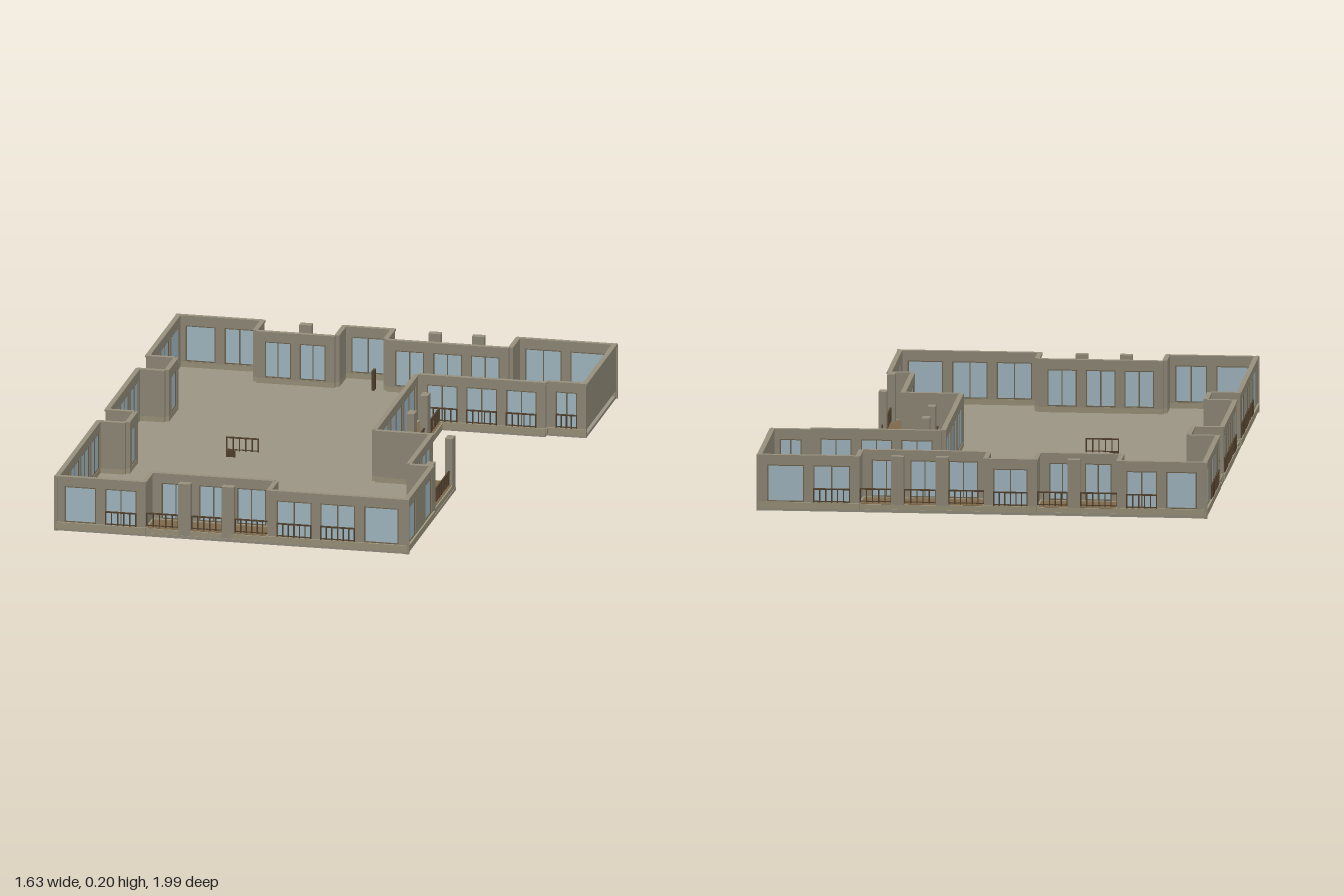
import * as THREE from 'three';

const mat = (name, color) => {
  const m = new THREE.MeshStandardMaterial({ color });
  m.name = name;
  return m;
};
const WALL = mat('stone wall', 0x968f7c);
const PLINTH = mat('plinth stone', 0xa0987f);
const FLOOR = mat('floor', 0x9a9483);
const WOOD = mat('deck wood', 0x7d684a);
const GLASS = mat('glass', 0xa9c0cb);
const FRAME = mat('window frame', 0x75674f);
const RAIL = mat('railing', 0x54432f);

const TOP = 0.205, BASE = 0.03, SILL = 0.033, HEAD = 0.168, THICK = 0.014, PIER = 0.033;
const unit = new THREE.BoxGeometry(1, 1, 1);

// box given by its minimum and maximum on each axis
function box(parent, name, material, x0, x1, y0, y1, z0, z1) {
  const m = new THREE.Mesh(unit, material);
  m.name = name;
  m.scale.set(x1 - x0, y1 - y0, z1 - z0);
  m.position.set((x0 + x1) / 2, (y0 + y1) / 2, (z0 + z1) / 2);
  parent.add(m);
}

// group whose x axis runs from a to b and whose z axis points out of the building
function along(parent, name, a, b) {
  const g = new THREE.Group();
  g.name = name;
  g.position.set(a[0], 0, a[1]);
  g.rotation.y = Math.atan2(a[1] - b[1], b[0] - a[0]);
  parent.add(g);
  return g;
}

const distance = (a, b) => Math.hypot(b[0] - a[0], b[1] - a[1]);

// top rail, bottom rail and evenly spaced balusters
function railing(g, x0, x1, z) {
  box(g, 'topRail', RAIL, x0, x1, 0.08, 0.085, z - 0.003, z + 0.003);
  box(g, 'bottomRail', RAIL, x0, x1, 0.036, 0.039, z - 0.002, z + 0.002);
  const n = Math.max(2, Math.round((x1 - x0) / 0.022));
  for (let i = 0; i <= n; i++) {
    const x = x0 + 0.002 + (x1 - x0 - 0.004) * i / n;
    box(g, 'baluster', RAIL, x - 0.002, x + 0.002, SILL, 0.08, z - 0.002, z + 0.002);
  }
}

// glazed opening with a frame and an optional middle mullion
function glazing(g, x0, x1, mullion) {
  const t = 0.004, mid = (x0 + x1) / 2;
  const bar = (a, b, c, d) => box(g, 'windowFrame', FRAME, a, b, c, d, -0.012, -0.002);
  box(g, 'glass', GLASS, x0, x1, SILL, HEAD, -0.010, -0.005);
  bar(x0, x0 + t, SILL, HEAD);
  bar(x1 - t, x1, SILL, HEAD);
  bar(x0, x1, SILL, SILL + t);
  bar(x0, x1, HEAD - t, HEAD);
  if (mullion) bar(mid - t / 2, mid + t / 2, SILL, HEAD);
}

// wall from a to b in equal bays: P plain window, M window with mullion, R window with railing, - blank
function wall(parent, a, b, bays, plinth) {
  const g = along(parent, 'wall', a, b);
  const len = distance(a, b);
  const width = (len - PIER) / bays.length - PIER;
  const s = new THREE.Shape();
  s.moveTo(0, BASE).lineTo(len, BASE).lineTo(len, TOP).lineTo(0, TOP).closePath();
  [...bays].forEach((kind, i) => {
    if (kind === '-') return;
    const x0 = PIER + i * (width + PIER), x1 = x0 + width;
    const hole = new THREE.Path();
    hole.moveTo(x0, SILL).lineTo(x0, HEAD).lineTo(x1, HEAD).lineTo(x1, SILL).closePath();
    s.holes.push(hole);
    glazing(g, x0, x1, kind !== 'P');
    if (kind === 'R') railing(g, x0, x1, 0.002);
  });
  const geo = new THREE.ExtrudeGeometry(s, { depth: THICK, bevelEnabled: false });
  geo.translate(0, 0, -THICK);
  const panel = new THREE.Mesh(geo, WALL);
  panel.name = 'wallPanel';
  g.add(panel);
  // coping and projecting plinth
  box(g, 'coping', WALL, 0, len, TOP - 0.008, TOP, -THICK, 0.004);
  if (plinth) box(g, 'plinth', PLINTH, 0, len, 0.01, SILL, -THICK, 0.006);
}

// timber deck, railing along its open edge a-b, and pillars starting at the given distances
function balcony(parent, a, b, depth, pillars) {
  const g = along(parent, 'balcony', a, b);
  const len = distance(a, b);
  box(g, 'deck', WOOD, 0, len, 0.01, BASE, -depth, -0.002);
  box(g, 'deckEdge', PLINTH, 0, len, 0.01, BASE - 0.001, -0.004, 0.003);
  let start = 0;
  for (const p of pillars) {
    box(g, 'pillar', WALL, p, p + 0.045, 0.008, TOP, -0.025, 0.003);
    if (p > start) railing(g, start, p, -0.01);
    start = p + 0.045;
  }
  railing(g, start, len, -0.01);
}

export function createModel() {
  const root = new THREE.Group();
  root.name = 'buildingStorey';
  const W = -0.81, E = 0.485, WING = 0.805, F = 0.99, B = -0.99;

  // floor slab
  const slabShape = new THREE.Shape();
  slabShape.moveTo(W, -F).lineTo(E, -F).lineTo(E, -0.2).lineTo(0.28, -0.2).lineTo(0.28, 0.48)
    .lineTo(0.66, 0.48).lineTo(0.66, 0.5).lineTo(WING, 0.5).lineTo(WING, -B).lineTo(W, -B).closePath();
  const slab = new THREE.ExtrudeGeometry(slabShape, { depth: 0.011, bevelEnabled: false });
  slab.rotateX(-Math.PI / 2);
  const floor = new THREE.Mesh(slab, FLOOR);
  floor.name = 'floorSlab';
  root.add(floor);

  // outer walls, walked round the plan: corner, then the bays up to the next corner
  const front = [[W, F, 'PR'], [-0.48, F, ''], [-0.48, 0.875, 'MMM'], [-0.03, 0.875, ''], [-0.03, F, 'RRP']];
  const right = [[E, F, 'P-P'], [E, 0.57, ''], [0.4, 0.57, 'MM'], [0.4, 0.2, ''], [0.19, 0.2, 'MMM']];
  const wing = [[0.19, -0.48, 'RRR'], [0.66, -0.48, ''], [0.66, -0.5, 'R'], [WING, -0.5, '']];
  const back = [[WING, B, 'PR'], [0.44, B, ''], [0.44, -0.865, 'MMM'], [-0.01, -0.865, ''], [-0.01, B, 'R'],
    [-0.2, B, ''], [-0.2, -0.865, 'MM'], [-0.49, -0.865, ''], [-0.49, B, 'RP']];
  const left = [[W, B, 'PRR'], [W, -0.48, ''], [-0.705, -0.48, 'P'], [-0.705, -0.33, ''], [W, -0.33, 'RRR'],
    [W, 0.18, ''], [-0.705, 0.18, 'P'], [-0.705, 0.31, ''], [W, 0.31, 'RRRP']];
  const plan = [...front, ...right, ...wing, ...back, ...left];
  const openBelow = wing[wing.length - 1];
  plan.forEach((p, i) => wall(root, p, plan[(i + 1) % plan.length], p[2], p !== openBelow));

  // recessed balconies
  balcony(root, [-0.48, 0.985], [-0.03, 0.985], 0.11, [0.12, 0.28]);
  balcony(root, [0.48, 0.57], [0.48, 0.2], 0.08, [0, 0.32]);
  balcony(root, [0.28, 0.2], [0.28, -0.48], 0.09, [0.21, 0.43]);
  balcony(root, [0.44, -0.985], [-0.01, -0.985], 0.12, [0.115, 0.275]);
  balcony(root, [-0.2, -0.985], [-0.49, -0.985], 0.12, [0.11]);
  balcony(root, [-0.805, -0.48], [-0.805, -0.33], 0.1, []);
  balcony(root, [-0.805, 0.18], [-0.805, 0.31], 0.1, []);

  // pilasters at the main corners
  for (const [x, z] of [[W, F], [E, F], [WING, B], [W, B]])
    box(root, 'cornerPilaster', WALL, x - 0.006, x + 0.006, 0, TOP, z - 0.006, z + 0.006);

  // free-standing railing and post inside
  const inner = along(root, 'innerRailing', [-0.4, 0.027], [-0.28, 0.027]);
  railing(inner, 0, 0.12, 0);
  box(inner, 'railingFoot', RAIL, 0, 0.035, 0.011, 0.036, 0.004, 0.008);
  box(root, 'smallPost', RAIL, -0.064, -0.054, 0.011, 0.085, -0.88, -0.85);
  return root;
}
